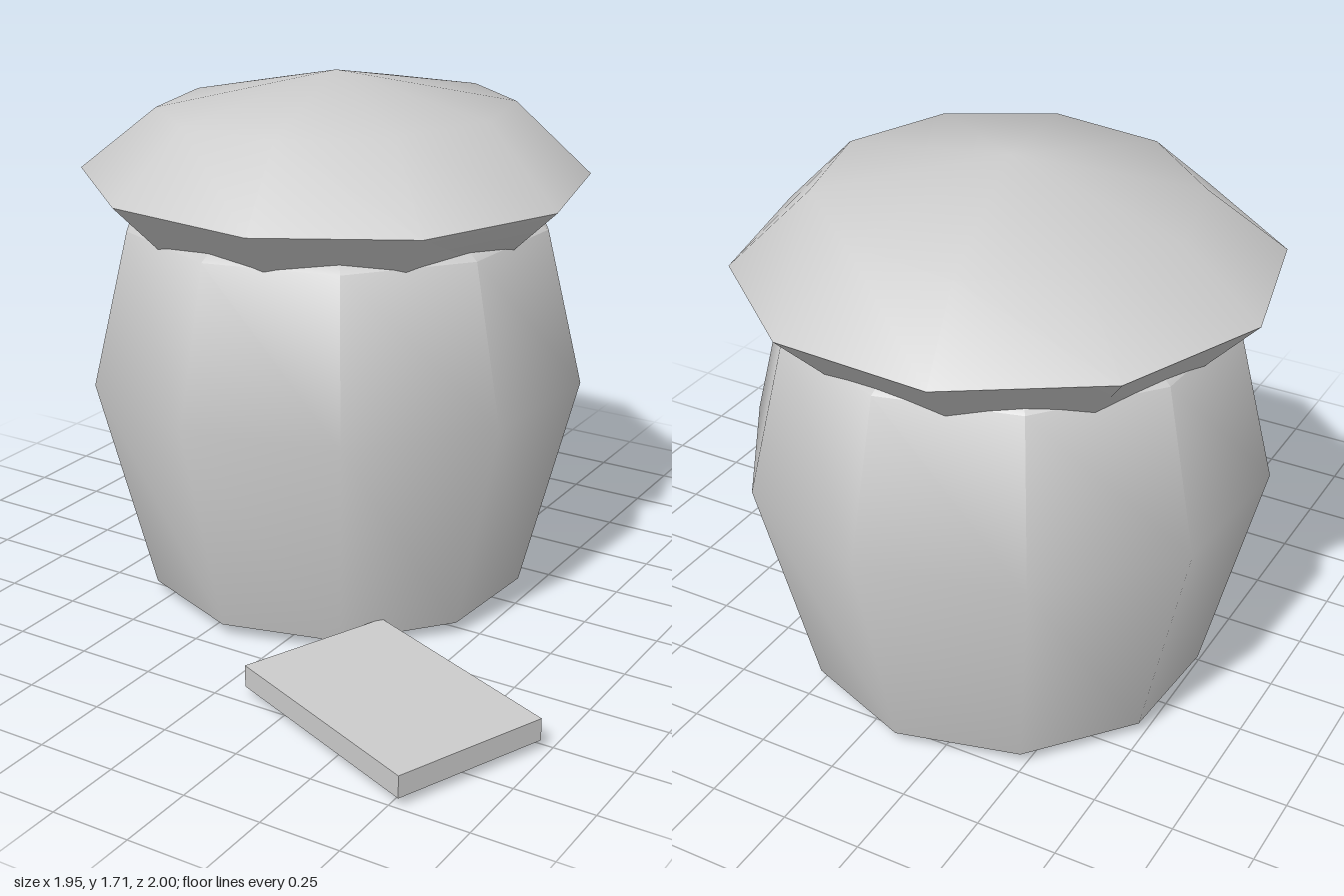
import * as THREE from 'three';
import { toCreasedNormals } from 'three/addons/utils/BufferGeometryUtils.js';

const SIDES = 10;
const CREASE = THREE.MathUtils.degToRad(45);

// Ten-sided turned shape; the profile runs from bottom to top as [radius, y]
function turned(profile, startDegrees, warp) {
  const points = profile.map(([r, y]) => new THREE.Vector2(r, y));
  const geometry = new THREE.LatheGeometry(points, SIDES, THREE.MathUtils.degToRad(startDegrees));
  if (warp) {
    const p = geometry.attributes.position;
    for (let i = 0; i < p.count; i++) {
      p.setY(i, p.getY(i) + warp(p.getX(i), p.getY(i), p.getZ(i)));
    }
  }
  return toCreasedNormals(geometry, CREASE);
}

export function createModel() {
  const model = new THREE.Group();
  const grey = new THREE.MeshStandardMaterial({ color: 0xcccccc });
  grey.name = 'lightGrey';

  const add = (name, geometry, x, y, z) => {
    const mesh = new THREE.Mesh(geometry, grey);
    mesh.name = name;
    mesh.position.set(x, y, z);
    model.add(mesh);
    return mesh;
  };

  // Bulging barrel body with a shallow pointed base and a sloped shoulder
  add('body', turned([
    [0, 0], [0.63, 0.04], [0.81, 0.755], [0.69, 1.25], [0.64, 1.28], [0, 1.3],
  ], -3.5), -0.15, 0, -0.19);

  // Overhanging lid, its rim and crown tilted slightly against each other
  add('lid', turned([
    [0, 1.17], [0.6, 1.17], [0.815, 1.385], [0.57, 1.6], [0, 1.71],
  ], 13.5, (x, y, z) => {
    if (y > 1.5 && y < 1.65) return 0.03 * x + 0.015 * z;
    if (y > 1.3 && y < 1.5) return -0.014 * x;
    return 0;
  }), -0.16, 0, -0.2);

  // Flat slab lying at the foot of the body
  const slab = add('slab', new THREE.BoxGeometry(0.75, 0.07, 0.51), 0.53, 0.065, 0.62);
  slab.rotation.y = THREE.MathUtils.degToRad(-22.4);

  return model;
}
